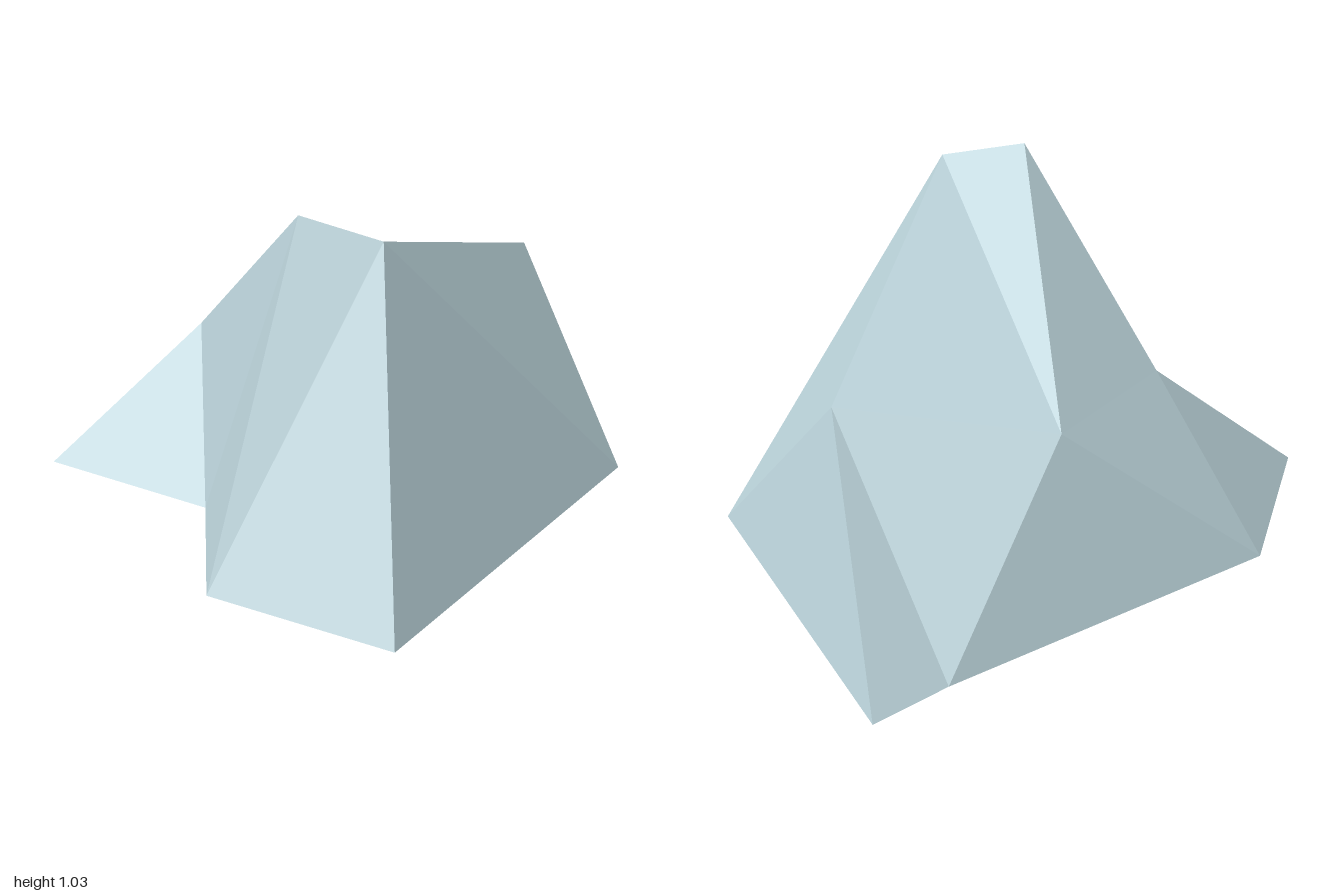
import * as THREE from 'three';

// Corners of the faceted boulder
const corners = {
  // ground outline, counter-clockwise from the front
  A: [0, 0, 1], B: [0.89, 0, 0.1], C: [0.77, 0, -1], D: [0.52, 0, -0.92],
  E: [-0.57, 0, -0.67], F: [-0.89, 0, -0.22], G: [-0.44, 0, 0.14], H: [-0.49, 0, 0.63],
  // upper ridge and shoulders
  P: [-0.16, 1.03, 0.27], Q: [0.07, 0.98, 0.38], R: [0.66, 0.61, -0.33],
  S: [0.05, 0.53, -0.58], T: [-0.4, 0.45, -0.24],
};

// Facets of each region, corners counter-clockwise from outside
const regions = {
  frontFace: 'HAQ HQP',
  rightFace: 'ABQ BRQ BCR',
  backFace: 'CDR DSR DES',
  leftSpur: 'EFT FGT',
  leftNotch: 'TGP GHP',
  topSlope: 'ETS STP PQS QRS',
};

export function createModel() {
  const stone = new THREE.MeshStandardMaterial({ color: 0xb8d0d7 });
  stone.name = 'paleBlueStone';
  stone.flatShading = true;
  stone.side = THREE.DoubleSide; // open shell underneath

  const rock = new THREE.Group();
  rock.name = 'rock';
  for (const [name, facets] of Object.entries(regions)) {
    const points = [...facets.replaceAll(' ', '')].flatMap((key) => corners[key]);
    const geometry = new THREE.BufferGeometry();
    geometry.setAttribute('position', new THREE.Float32BufferAttribute(points, 3));
    geometry.computeVertexNormals();
    const mesh = new THREE.Mesh(geometry, stone);
    mesh.name = name;
    rock.add(mesh);
  }
  return rock;
}
